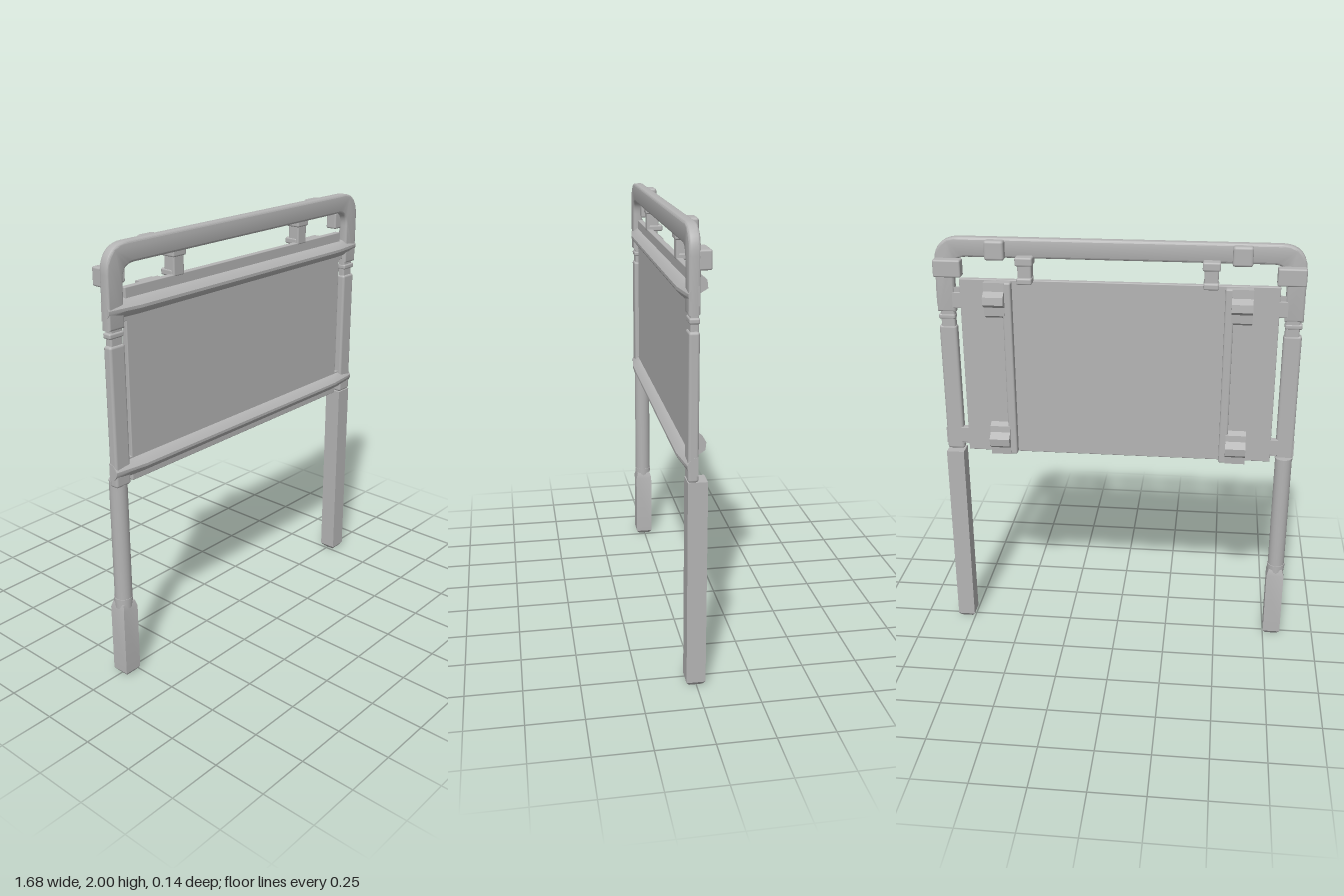
import * as THREE from 'three';
import { toCreasedNormals } from 'three/addons/utils/BufferGeometryUtils.js';
import { RoundedBoxGeometry } from 'three/addons/geometries/RoundedBoxGeometry.js';

const grey = new THREE.MeshStandardMaterial({ color: 0xb4b4b4 });
grey.name = 'warm grey';

export function createModel() {
  const group = new THREE.Group();

  const add = (name, geometry) => {
    const mesh = new THREE.Mesh(geometry, grey);
    mesh.name = name;
    group.add(mesh);
    return mesh;
  };
  // Softly rounded block given by its limits
  const block = (name, x0, x1, y0, y1, z0, z1, r = 0.008) => {
    const g = new RoundedBoxGeometry(x1 - x0, y1 - y0, z1 - z0, 2, r);
    return add(name, g.translate((x0 + x1) / 2, (y0 + y1) / 2, (z0 + z1) / 2));
  };
  // Profile of [z, y] points swept along x
  const sweepX = (points, x0, x1, steps = 1) => {
    const shape = new THREE.Shape(points.map(([z, y]) => new THREE.Vector2(-z, y)));
    const g = new THREE.ExtrudeGeometry(shape, { depth: x1 - x0, steps, bevelEnabled: false });
    return g.rotateY(Math.PI / 2).translate(x0, 0, 0);
  };
  // Square bar from [half width, y] points
  const squareBar = (name, points, x, z) => {
    const g = new THREE.LatheGeometry(
      points.map(([w, y]) => new THREE.Vector2(w * Math.SQRT2, y)), 4, Math.PI / 4);
    return add(name, toCreasedNormals(g.translate(x, 0, z), 0.3));
  };

  // Arched top frame, bent down at both ends
  const arch = new THREE.Shape();
  arch.moveTo(-0.83, 1.66);
  arch.lineTo(-0.83, 1.88);
  arch.quadraticCurveTo(-0.83, 1.99, -0.72, 1.99);
  arch.lineTo(0.72, 1.99);
  arch.quadraticCurveTo(0.83, 1.99, 0.83, 1.88);
  arch.lineTo(0.83, 1.66);
  arch.lineTo(0.765, 1.66);
  arch.lineTo(0.765, 1.84);
  arch.quadraticCurveTo(0.765, 1.92, 0.69, 1.92);
  arch.lineTo(-0.69, 1.92);
  arch.quadraticCurveTo(-0.765, 1.92, -0.765, 1.84);
  arch.lineTo(-0.765, 1.66);
  const archGeometry = new THREE.ExtrudeGeometry(arch, {
    depth: 0.028, bevelThickness: 0.01, bevelSize: 0.01, bevelSegments: 3, curveSegments: 10,
  });
  add('topFrame', toCreasedNormals(archGeometry.translate(0, 0, 0.01), 0.6));

  // Main board
  block('panel', -0.73, 0.73, 0.955, 1.81, 0, 0.028, 0.004);

  // Front rails, thinning toward the ends
  for (const [name, y] of [['upperRail', 1.728], ['lowerRail', 1.025]]) {
    const profile = [[0.005, y - 0.04], [0.04, y - 0.036], [0.058, y - 0.02], [0.068, y - 0.005],
      [0.068, y + 0.008], [0.055, y + 0.022], [0.035, y + 0.036], [0.005, y + 0.04]];
    const g = sweepX(profile, -0.84, 0.84, 21);
    const p = g.attributes.position;
    for (let i = 0; i < p.count; i++) {
      const t = Math.max(0, (Math.abs(p.getX(i)) - 0.68) / 0.16);
      p.setZ(i, p.getZ(i) * (1 - 0.28 * t));
    }
    add(name, toCreasedNormals(g, 0.5));
  }

  for (const s of [-1, 1]) {
    const side = s > 0 ? 'left' : 'right';
    // Block on either side of the board, mirrored by s
    const pair = (name, a, b, ...rest) =>
      block(side + name, Math.min(s * a, s * b), Math.max(s * a, s * b), ...rest);

    // Side post, its narrowed neck and the webs that tie it to the board
    pair('Post', 0.755, 0.838, 0.955, 1.585, 0, 0.045, 0.012);
    pair('PostNeck', 0.76, 0.826, 1.57, 1.7, 0.002, 0.038);
    pair('PostCollar', 0.758, 0.837, 1.615, 1.64, 0, 0.044);
    pair('UpperWeb', 0.72, 0.77, 1.67, 1.745, 0, 0.028, 0.003);
    pair('LowerWeb', 0.72, 0.77, 0.99, 1.07, 0, 0.028, 0.003);

    // Short struts between the board and the frame
    pair('Strut', 0.388, 0.452, 1.8, 1.925, -0.03, 0.03);
    pair('StrutCap', 0.38, 0.46, 1.885, 1.925, -0.048, 0.036);
    pair('StrutFoot', 0.385, 0.455, 1.8, 1.83, -0.048, 0.02);

    // Blocks on the back of the frame
    pair('CornerBlock', 0.71, 0.838, 1.825, 1.905, -0.045, 0.012);
    pair('FrameBlock', 0.51, 0.6, 1.905, 1.995, -0.038, 0.012, 0.012);

    // Back bracket: upright flange beside a channel with raised ends
    pair('BracketFlange', 0.485, 0.525, 0.955, 1.805, -0.038, 0.006);
    const profile = [[0.005, 0.955], [-0.04, 0.955], [-0.042, 0.99], [-0.072, 1.01],
      [-0.076, 1.045], [-0.042, 1.07], [-0.04, 1.1], [-0.014, 1.115], [-0.014, 1.635],
      [-0.04, 1.65], [-0.042, 1.69], [-0.076, 1.71], [-0.072, 1.745], [-0.042, 1.765],
      [-0.04, 1.805], [0.005, 1.805]];
    const g = s > 0 ? sweepX(profile, 0.515, 0.61) : sweepX(profile, -0.61, -0.515);
    add(side + 'Bracket', toCreasedNormals(g, 0.4));
  }

  // Left leg: one square bar with a tapered tip
  squareBar('leftLeg', [[0, 0], [0.028, 0], [0.042, 0.018], [0.042, 0.955], [0, 0.955]], 0.793, 0.003);

  // Right leg: round tube on a square foot
  squareBar('rightFoot', [[0, 0], [0.028, 0], [0.042, 0.018], [0.042, 0.345], [0.034, 0.375], [0, 0.375]],
    -0.793, 0.003);
  const tube = new THREE.CylinderGeometry(0.04, 0.04, 0.63, 20);
  add('rightLegTube', tube.translate(-0.795, 0.665, 0.004));
  const collar = new THREE.CylinderGeometry(0.043, 0.043, 0.02, 20);
  add('rightLegCollar', collar.translate(-0.795, 0.39, 0.003));

  return group;
}
